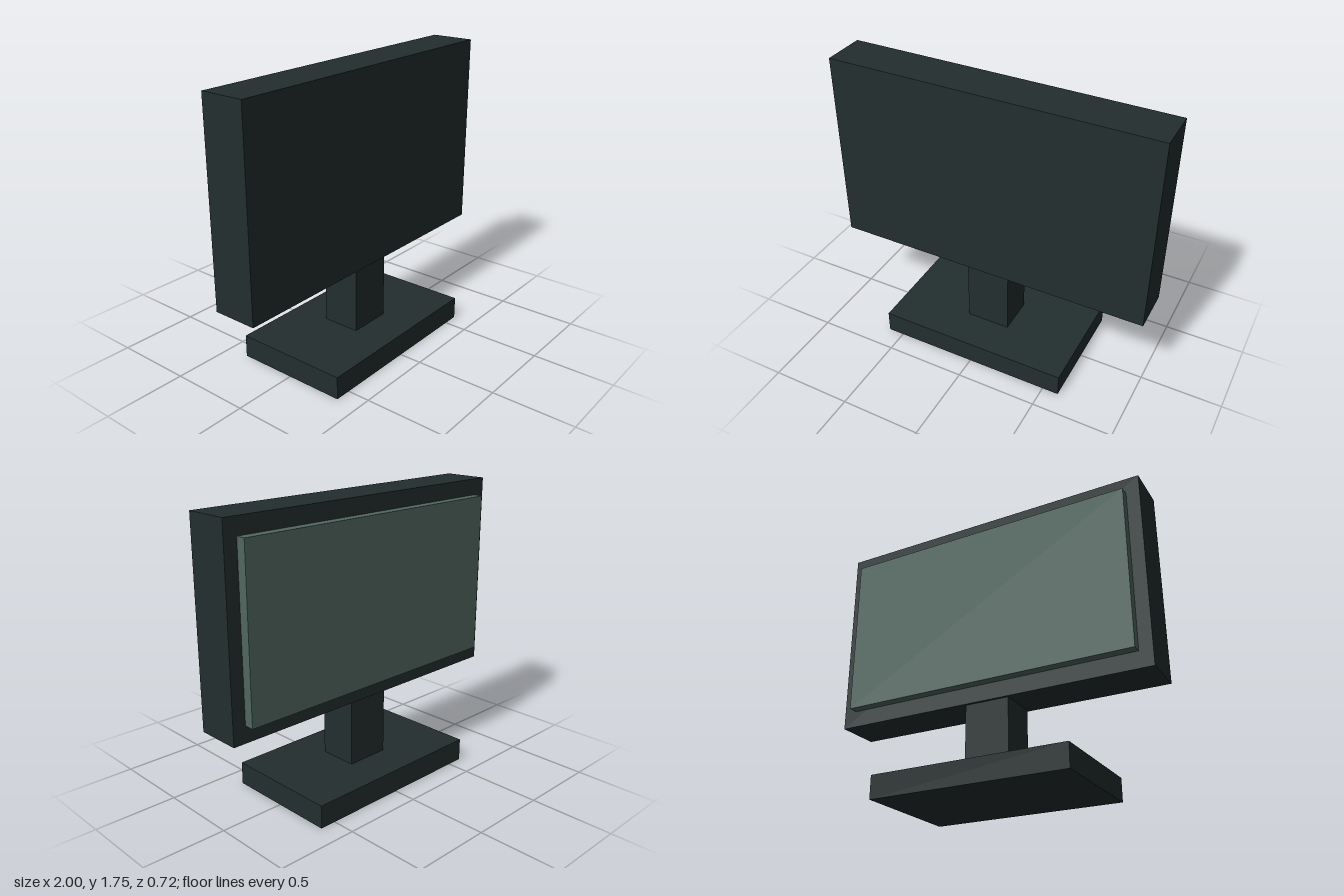
import * as THREE from 'three';

export function createModel() {
  const model = new THREE.Group();
  model.name = 'monitor';

  const casing = new THREE.MeshStandardMaterial({ color: 0x232e2e });
  casing.name = 'dark casing';
  const glass = new THREE.MeshStandardMaterial({ color: 0x50675f });
  glass.name = 'grey green screen';

  // Box given by its size, its bottom height and its centre in z
  function addBox(name, material, [w, h, d], bottom, z = 0) {
    const mesh = new THREE.Mesh(new THREE.BoxGeometry(w, h, d), material);
    mesh.name = name;
    mesh.position.set(0, bottom + h / 2, z);
    model.add(mesh);
  }

  // Stand
  addBox('base', casing, [1.2, 0.14, 0.72], 0);
  addBox('neck', casing, [0.275, 0.41, 0.24], 0.14);

  // Housing with the raised screen on its -z side
  addBox('housing', casing, [2, 1.2, 0.275], 0.55);
  addBox('screen', glass, [1.84, 1, 0.06], 0.65, -0.1665);

  return model;
}
